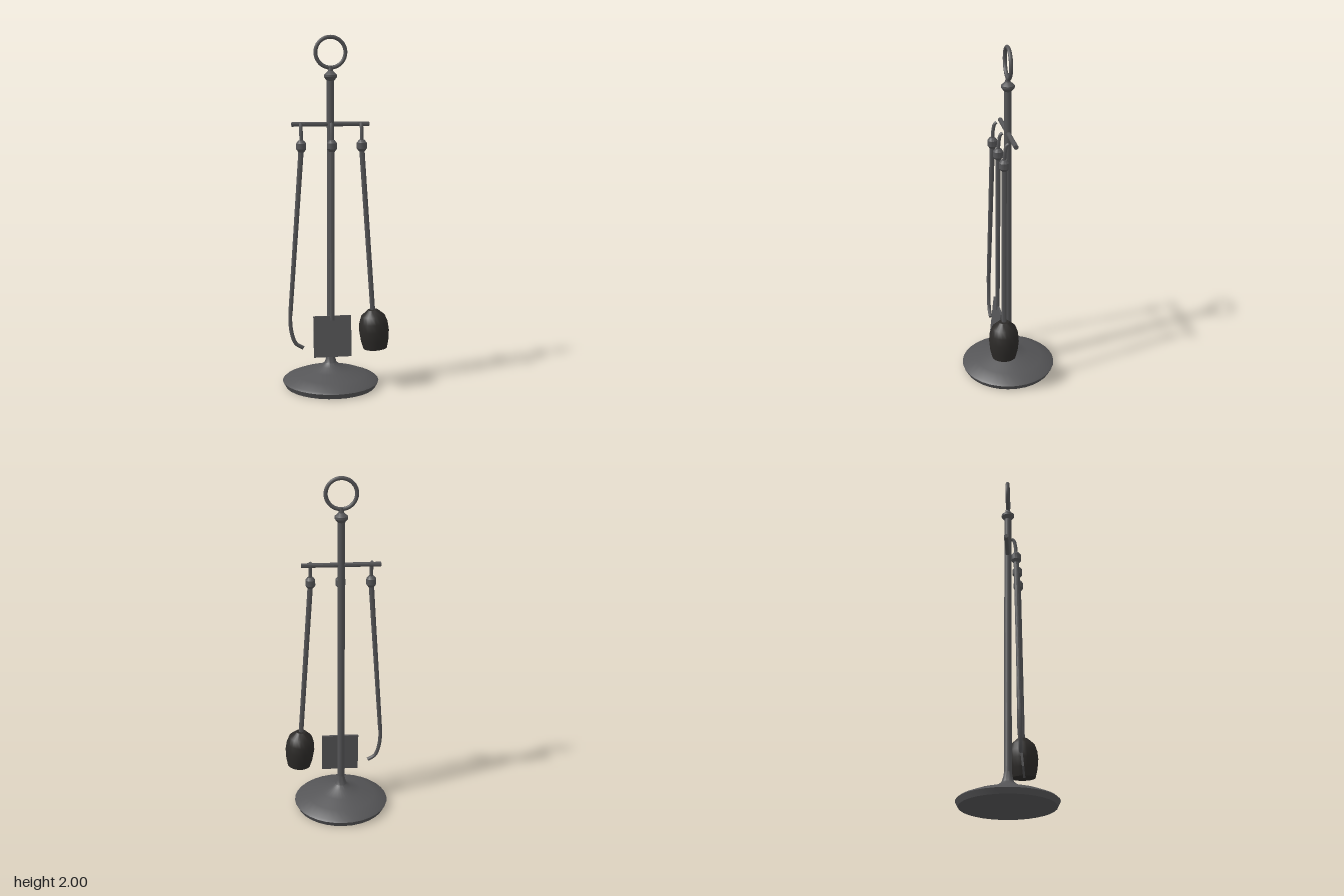
import * as THREE from 'three';
import { toCreasedNormals } from 'three/addons/utils/BufferGeometryUtils.js';

const CX = -0.025; // axis of the stand
const iron = new THREE.MeshStandardMaterial({ color: 0x555557 });
const bristle = new THREE.MeshStandardMaterial({ color: 0x2c2a28 });
const V = (x, y, z) => new THREE.Vector3(x, y, z);

function add(parent, name, geometry, material = iron) {
  const mesh = new THREE.Mesh(geometry, material);
  mesh.name = name;
  parent.add(mesh);
  return mesh;
}

// Profile points [radius, height], listed from bottom to top
function lathe(points, sides) {
  const g = new THREE.LatheGeometry(points.map(([r, y]) => new THREE.Vector2(r, y)), sides);
  return toCreasedNormals(g, 0.6);
}

// Tapered rod running from a down to b
function rod(parent, name, a, b, rTop, rBottom) {
  const d = a.clone().sub(b);
  const mesh = add(parent, name, toCreasedNormals(
    new THREE.CylinderGeometry(rTop, rBottom, d.length(), 12), 0.7));
  mesh.position.copy(a).add(b).multiplyScalar(0.5);
  mesh.quaternion.setFromUnitVectors(V(0, 1, 0), d.normalize());
  return mesh;
}

function tube(parent, name, points, r, segments) {
  const curve = new THREE.CatmullRomCurve3(points);
  add(parent, name, new THREE.TubeGeometry(curve, segments, r, 8));
  // Close both ends
  [0, 1].forEach((t) => {
    const cap = add(parent, name + 'End', new THREE.CircleGeometry(r, 8));
    cap.position.copy(curve.getPoint(t));
    cap.quaternion.setFromUnitVectors(V(0, 0, 1), curve.getTangent(t).multiplyScalar(t ? 1 : -1));
  });
}

// Hook and knob shared by all three tools
function makeTool(name, x) {
  const tool = new THREE.Group();
  tool.name = name;
  tube(tool, 'hook', [V(x, 1.512, 0.03), V(x, 1.505, 0.041), V(x, 1.47, 0.05), V(x, 1.4, 0.055)], 0.01, 12);
  const knob = add(tool, 'knob', lathe(
    [[0, 1.358], [0.016, 1.36], [0.028, 1.376], [0.028, 1.408], [0.016, 1.424], [0, 1.426]], 14));
  knob.position.set(x, 0, 0.055);
  return tool;
}

export function createModel() {
  const model = new THREE.Group();
  model.name = 'fireplaceToolSet';

  // Stand: flared base, pole, finial, ring and crossbar
  const stand = new THREE.Group();
  stand.name = 'stand';
  stand.position.x = CX;
  model.add(stand);
  add(stand, 'base', lathe([[0, 0], [0.262, 0], [0.277, 0.03], [0.265, 0.04], [0.2, 0.067], [0.12, 0.092],
    [0.06, 0.114], [0.034, 0.135], [0.025, 0.165], [0.021, 0.19]], 32));
  add(stand, 'pole', new THREE.CylinderGeometry(0.021, 0.021, 1.61, 16)).position.y = 0.965;
  add(stand, 'finial', lathe([[0.021, 1.75], [0.037, 1.77], [0.037, 1.783], [0.015, 1.803], [0.012, 1.83], [0, 1.83]], 20));
  add(stand, 'ring', new THREE.TorusGeometry(0.084, 0.011, 10, 36)).position.y = 1.906;
  add(stand, 'crossbar', toCreasedNormals(new THREE.CylinderGeometry(0.013, 0.013, 0.438, 12), 0.7)
    .rotateZ(Math.PI / 2)).position.y = 1.51;

  // Poker with a curved tip
  const poker = makeTool('poker', -0.197);
  rod(poker, 'shaft', V(-0.197, 1.38, 0.055), V(-0.265, 0.45, 0.073), 0.015, 0.012);
  tube(poker, 'tip', [V(-0.265, 0.46, 0.073), V(-0.266, 0.4, 0.073), V(-0.257, 0.33, 0.074),
    V(-0.235, 0.275, 0.075), V(-0.193, 0.248, 0.075)], 0.011, 20);
  model.add(poker);

  // Shovel with a flat, leaning blade
  const shovel = makeTool('shovel', CX);
  rod(shovel, 'shaft', V(CX, 1.38, 0.055), V(CX, 0.4, 0.064), 0.015, 0.013);
  const blade = add(shovel, 'blade', new THREE.BoxGeometry(0.216, 0.236, 0.012));
  blade.position.set(CX, 0.307, 0.072);
  blade.rotation.x = -0.1;
  model.add(shovel);

  // Brush with a barrel-shaped head in line with its shaft
  const brush = makeTool('brush', 0.143);
  const top = V(0.143, 1.38, 0.055), end = V(0.208, 0.44, 0.071);
  const shaft = rod(brush, 'shaft', top, end, 0.015, 0.014);
  const head = add(brush, 'bristles', lathe([[0, -0.21], [0.068, -0.21], [0.08, -0.16], [0.086, -0.105],
    [0.082, -0.06], [0.068, -0.02], [0.03, 0.014], [0, 0.018]], 20), bristle);
  head.position.copy(end);
  head.quaternion.copy(shaft.quaternion);
  model.add(brush);

  return model;
}
